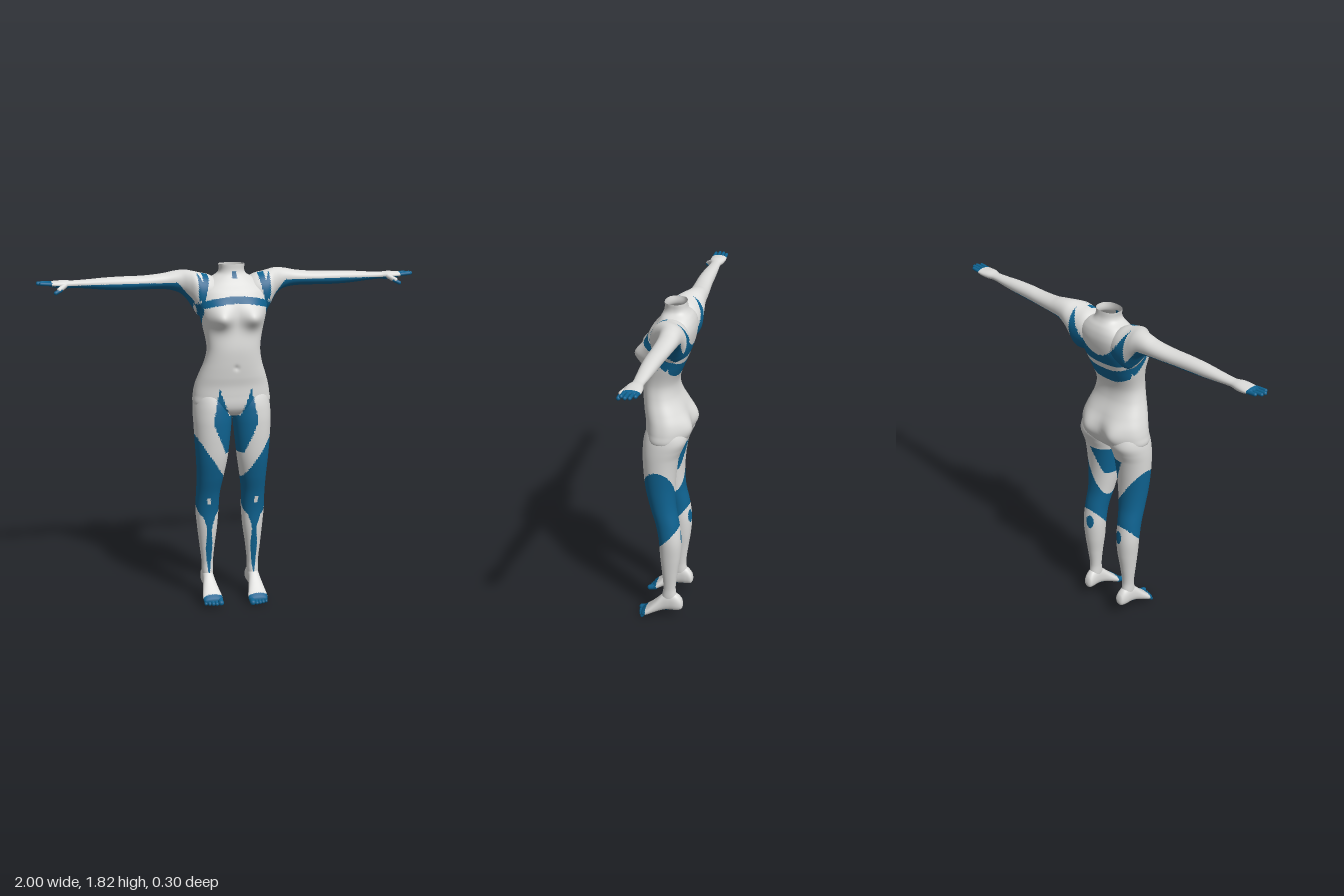
import * as THREE from 'three';

const shell = new THREE.MeshStandardMaterial({ color: 0xdcdcda });
shell.name = 'paleGrey';
const blue = new THREE.MeshStandardMaterial({ color: 0x0f6391 });
blue.name = 'deepBlue';
shell.side = blue.side = THREE.DoubleSide;

const { clamp, lerp } = THREE.MathUtils;
const bump = (u, v) => Math.exp(-u * u - v * v);

// Smooth (Hermite) lookup in a table of rows [t, ...values]
function sample(rows, t) {
  const dir = Math.sign(rows[1][0] - rows[0][0]);
  let i = 0;
  while (i < rows.length - 2 && (t - rows[i + 1][0]) * dir > 0) i++;
  const p = rows[i], q = rows[i + 1], h = q[0] - p[0], u = (t - p[0]) / h;
  const a = rows[Math.max(i - 1, 0)], b = rows[Math.min(i + 2, rows.length - 1)];
  return p.slice(1).map((v, k) => {
    k++;
    const m0 = (q[k] - a[k]) / (q[0] - a[0]) * h, m1 = (b[k] - p[k]) / (b[0] - p[0]) * h;
    const d = q[k] - v;
    return v + u * (m0 + u * (3 * d - 2 * m0 - m1 + u * (m0 + m1 - 2 * d)));
  });
}

// Final placement: mirror by side, slight sway of the hips, one leg raised a little
function place([x, y, z], side) {
  const sway = 0.01 * clamp((1.7 - y) / 0.4, 0, 1);
  const lift = side < 0 ? 0.014 * Math.max(0, 1 - y) : 0;
  return [x * side - sway, y + lift, z];
}

// Skin rounded sections [t, a max, a min, b max, b min]; paint() picks the colour of each face
function loft(name, rows, { toPoint, paint, side = 1, power = 1, around = 64, steps = 120, open = false }) {
  const raw = [], faces = [[], []];
  const t0 = rows[0][0], t1 = rows[rows.length - 1][0];
  const round = v => Math.sign(v) * Math.abs(v) ** power;
  for (let i = 0; i <= steps; i++) {
    const t = lerp(t0, t1, i / steps), [a1, a0, b1, b0] = sample(rows, t);
    for (let j = 0; j < around; j++) {
      const w = j / around * Math.PI * 2;
      raw.push(toPoint(t, (a1 + a0) / 2 + (a1 - a0) / 2 * round(Math.cos(w)),
        (b1 + b0) / 2 + (b1 - b0) / 2 * round(Math.sin(w))));
    }
  }
  const face = (a, b, c) => {
    const m = [0, 1, 2].map(k => (raw[a][k] + raw[b][k] + raw[c][k]) / 3);
    faces[paint(Math.abs(m[0]), m[1], m[2]) ? 1 : 0].push(...(side > 0 ? [a, b, c] : [a, c, b]));
  };
  for (let i = 0; i < steps; i++) for (let j = 0; j < around; j++) {
    const a = i * around + j, b = i * around + (j + 1) % around;
    face(a, b, a + around);
    face(b, b + around, a + around);
  }
  for (const end of open ? [] : [0, 1]) {
    const [a1, a0, b1, b0] = rows[end ? rows.length - 1 : 0].slice(1), c = raw.length, s = end * steps * around;
    raw.push(toPoint(end ? t1 : t0, (a1 + a0) / 2, (b1 + b0) / 2));
    for (let j = 0; j < around; j++) {
      const p = s + j, q = s + (j + 1) % around;
      end ? face(p, q, c) : face(q, p, c);
    }
  }
  const geo = new THREE.BufferGeometry();
  geo.setAttribute('position', new THREE.Float32BufferAttribute(raw.flatMap(p => place(p, side)), 3));
  geo.setIndex([...faces[0], ...faces[1]]);
  geo.addGroup(0, faces[0].length, 0);
  geo.addGroup(faces[0].length, faces[1].length, 1);
  geo.computeVertexNormals();
  const mesh = new THREE.Mesh(geo, [shell, blue]);
  mesh.name = name;
  return mesh;
}

// Rounded finger or toe between two points
function digit(name, from, to, radius, side, material) {
  const a = new THREE.Vector3(...place(from, side)), b = new THREE.Vector3(...place(to, side));
  const mesh = new THREE.Mesh(new THREE.CapsuleGeometry(radius, a.distanceTo(b), 6, 14), material);
  mesh.position.copy(a).add(b).multiplyScalar(0.5);
  mesh.quaternion.setFromUnitVectors(new THREE.Vector3(0, 1, 0), b.sub(a).normalize());
  mesh.name = name;
  return mesh;
}

// Blue on chest, back, shoulders and under the arms
function upperPaint(x, y, z) {
  if (x > 0.19) {
    if (x > 0.925) return true;
    const edge = Math.min(1.62 + (x - 0.19) * 1.15, 1.72 + 0.2 * (z + 0.08));
    if (y > edge) return false;
  }
  if (x > 0.24) return true;
  if (x < 0.012 && y > 1.75 && y < 1.785 && z > -0.03) return true;
  if (z > 0 && Math.abs(y - 1.647 + x * x) < 0.018) return true;
  if (z > -0.04 && y > 1.64 && Math.abs(x - 0.148 - 0.25 * Math.max(0, 1.74 - y)) < 0.015) return true;
  if (z > 0.05 || (z > -0.04 && x < 0.15)) return false;
  const low = 1.445 + 1.1 * Math.max(0, z + 0.07), stripe = 1.535 + 0.75 * Math.max(0, z + 0.1);
  return y > low && y < 1.6 + 5 * x * x && Math.abs(y - stripe) > 0.016;
}

// Blue diamond on the inner thigh
function thighPaint(x, y, z) {
  if (y < 0.84 || y > (z > 0 ? 1.19 : 1.0)) return false;
  const outer = y > 1.01 ? lerp(0.12, 0.085, (y - 1.01) / 0.18) : lerp(0.05, 0.12, (y - 0.84) / 0.17);
  const inner = y > 1.04 ? lerp(0.03, 0.085, (y - 1.04) / 0.15) : -1;
  return x < outer && x > inner;
}

// Blue knee band, shin strip and calf spot
const shin = [[0.5, 0.045], [0.45, 0.026], [0.4, 0.013], [0.3, 0.018], [0.2, 0.01], [0.12, 0]];
function legPaint(x, y, z) {
  if (thighPaint(x, y, z)) return true;
  if (z > 0 && Math.abs(x - 0.13) < 0.01 && Math.abs(y - 0.565) < 0.018) return false;
  if (y > 0.48 - 1.2 * z && y < 0.7 + (x - 0.05) * 1.55) return true;
  if (z > -0.04 && y > 0.12 && y < 0.5 && Math.abs(x - 0.124) < sample(shin, y)[0]) return true;
  return z < -0.06 && Math.hypot((x - 0.11) / 0.022, (y - 0.52) / 0.04) < 1;
}

const footPaint = (x, y, z) => z > 0.088 || y < 0.063 - 0.48 * Math.max(0, z + 0.02);

// Torso rows: height, half width, front, back
const torsoRows = [
  [1.82, 0.068, 0.01, -0.1], [1.79, 0.066, 0.01, -0.105], [1.77, 0.076, 0.015, -0.115],
  [1.75, 0.11, 0.025, -0.13], [1.72, 0.15, 0.043, -0.143], [1.68, 0.178, 0.075, -0.148],
  [1.62, 0.184, 0.1, -0.14], [1.57, 0.174, 0.108, -0.125], [1.5, 0.157, 0.11, -0.098],
  [1.4, 0.14, 0.12, -0.062], [1.33, 0.15, 0.118, -0.066], [1.25, 0.178, 0.11, -0.1],
  [1.2, 0.194, 0.102, -0.118], [1.15, 0.203, 0.1, -0.122], [1.1, 0.203, 0.098, -0.11],
  [1.07, 0.165, 0.088, -0.095], [1.04, 0.06, 0.06, -0.06], [1.02, 0.008, 0.01, -0.01],
].map(([y, w, f, b]) => [y, w, -w, f, b]);

// Torso surface with bust, buttocks and navel
function torsoPoint(y, x, z) {
  const ax = Math.abs(x);
  if (z > 0) {
    z += 0.05 * bump((ax - 0.085) / 0.055, (y - 1.555) / 0.052) * clamp(z / 0.04, 0, 1);
    z -= 0.008 * bump(x / 0.01, (y - 1.3) / 0.014);
  } else z -= 0.03 * bump((ax - 0.09) / 0.06, (y - 1.155) / 0.075) * clamp(-z / 0.06, 0, 1);
  return [x, y, z];
}

// Arm rows: distance out, top, bottom, front, back
const armRows = [
  [0.06, 1.73, 1.6, 0.02, -0.125], [0.12, 1.766, 1.565, 0.04, -0.14], [0.17, 1.778, 1.555, 0.046, -0.144],
  [0.2, 1.785, 1.595, 0.035, -0.142], [0.23, 1.79, 1.64, 0.005, -0.14], [0.26, 1.79, 1.668, -0.018, -0.137],
  [0.3, 1.785, 1.685, -0.03, -0.135], [0.35, 1.775, 1.693, -0.034, -0.132], [0.45, 1.766, 1.695, -0.032, -0.122],
  [0.55, 1.765, 1.695, -0.03, -0.113], [0.65, 1.762, 1.7, -0.033, -0.108], [0.75, 1.755, 1.71, -0.04, -0.102],
  [0.82, 1.752, 1.715, -0.043, -0.098], [0.86, 1.755, 1.712, -0.03, -0.106], [0.9, 1.753, 1.717, -0.028, -0.111],
  [0.93, 1.75, 1.725, -0.031, -0.109], [0.942, 1.745, 1.731, -0.036, -0.104],
];

// Leg rows: height, outer, inner, front, back
const legRows = [
  [1.2, 0.165, 0.03, 0.06, -0.09], [1.15, 0.193, 0.012, 0.085, -0.115], [1.1, 0.204, 0.004, 0.099, -0.125],
  [1.05, 0.207, 0.003, 0.104, -0.106], [1.0, 0.206, 0.006, 0.105, -0.087], [0.9, 0.201, 0.016, 0.1, -0.072],
  [0.8, 0.194, 0.028, 0.088, -0.067], [0.7, 0.188, 0.045, 0.064, -0.073], [0.6, 0.187, 0.06, 0.034, -0.093],
  [0.5, 0.188, 0.064, 0.016, -0.105], [0.4, 0.179, 0.072, 0.01, -0.1], [0.3, 0.168, 0.086, 0.0, -0.086],
  [0.2, 0.157, 0.096, -0.008, -0.075], [0.14, 0.156, 0.097, 0.0, -0.082], [0.1, 0.15, 0.102, 0.0, -0.085],
];

// Foot rows: depth, outer, inner, top, sole
const footRows = [
  [-0.115, 0.138, 0.112, 0.105, 0.08], [-0.108, 0.148, 0.1, 0.13, 0.066], [-0.08, 0.157, 0.096, 0.16, 0.058],
  [-0.04, 0.158, 0.096, 0.17, 0.055], [0, 0.16, 0.094, 0.145, 0.046], [0.04, 0.169, 0.084, 0.102, 0.03],
  [0.08, 0.177, 0.073, 0.062, 0.013], [0.103, 0.175, 0.073, 0.043, 0.006], [0.113, 0.165, 0.08, 0.034, 0.01],
];

export function createModel() {
  const model = new THREE.Group();
  model.name = 'bodyFigure';
  model.add(loft('torso', torsoRows, {
    toPoint: torsoPoint, power: 0.85, around: 112, steps: 170, open: true,
    paint: (x, y, z) => (y > 1.4 ? upperPaint(x, y, z) : z > 0 && thighPaint(x, y, z)),
  }));

  for (const [side, label] of [[1, 'left'], [-1, 'right']]) {
    // Arm with hand
    const arm = new THREE.Group();
    arm.name = label + 'Arm';
    arm.add(loft('armAndPalm', armRows, {
      toPoint: (t, a, b) => [t, a, b], paint: upperPaint, side, power: 0.95, around: 56, steps: 140,
    }));
    [[0.967, -0.1], [0.988, -0.08], [0.991, -0.059], [0.977, -0.039]].forEach(([tip, z], i) =>
      arm.add(digit('finger' + (i + 1), [0.925, 1.738, z], [tip, 1.742, z], 0.009, side, blue)));
    arm.add(digit('thumbBase', [0.855, 1.732, -0.042], [0.888, 1.712, -0.014], 0.013, side, shell));
    arm.add(digit('thumbTip', [0.882, 1.71, -0.013], [0.908, 1.698, -0.006], 0.01, side, blue));

    // Leg with foot
    const leg = new THREE.Group();
    leg.name = label + 'Leg';
    leg.add(loft('thighAndShin', legRows, {
      toPoint: (t, a, b) => [a, t, b], paint: legPaint, side, power: 0.95, around: 64, steps: 180,
    }));
    leg.add(loft('foot', footRows, {
      toPoint: (t, a, b) => [a, b, t], paint: footPaint, side, power: 0.88, around: 48, steps: 60,
    }));
    for (let i = 0; i < 5; i++) {
      const r = i ? 0.0105 - i * 0.0004 : 0.015, x = i ? 0.092 + i * 0.0185 : 0.088, tip = 0.126 - i * i * 0.0012;
      leg.add(digit('toe' + (i + 1), [x, 0.024, 0.096], [x, r + 0.002, tip], r, side, blue));
    }
    model.add(arm, leg);
  }
  return model;
}
